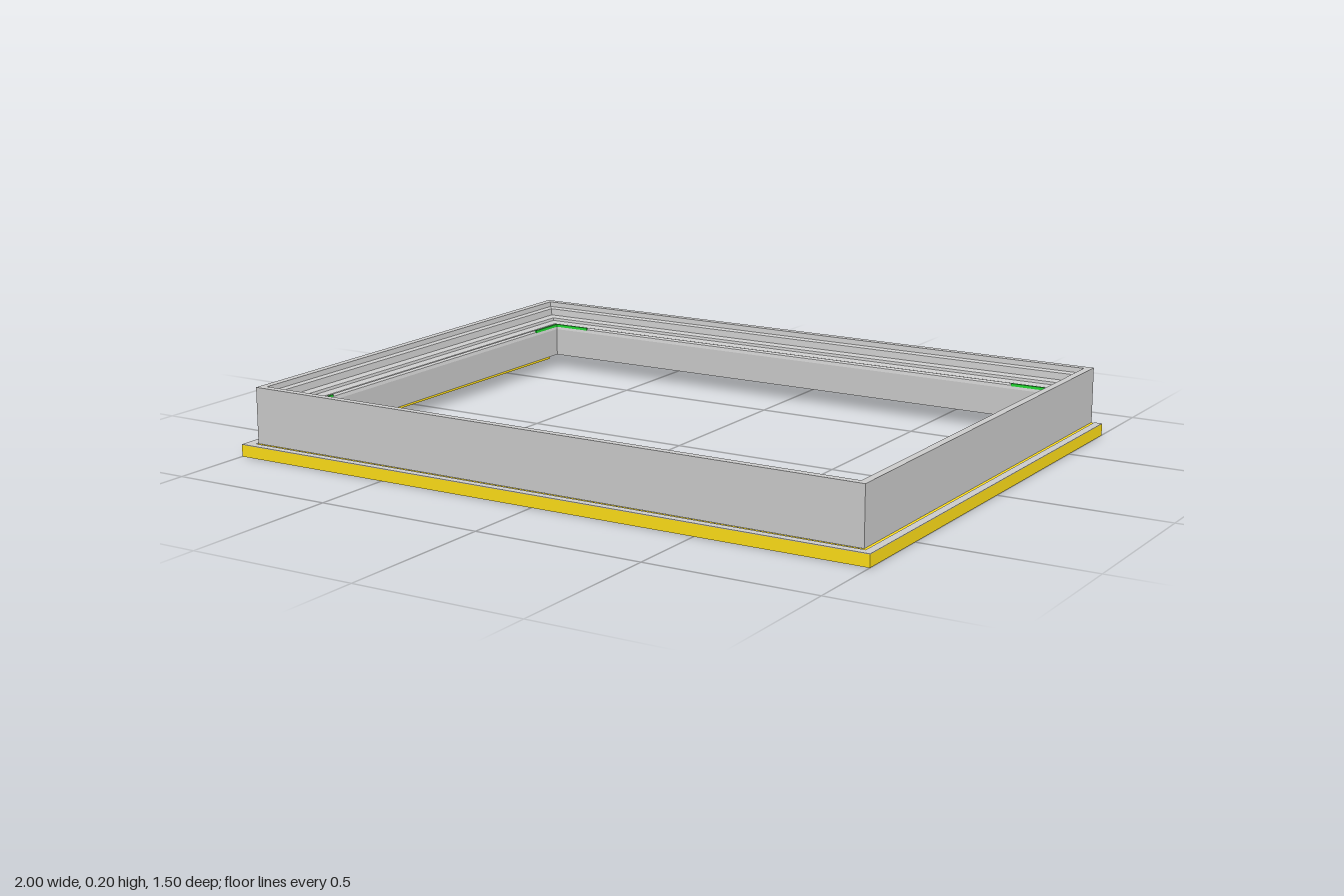
import * as THREE from 'three';

const grey = new THREE.MeshStandardMaterial({ color: 0xcccccc });
const yellow = new THREE.MeshStandardMaterial({ color: 0xffdf18 });
const green = new THREE.MeshStandardMaterial({ color: 0x22dd33 });

const X = 0.967, ZF = 0.717, ZB = -0.75; // outer faces of the frame

// Sweep a closed section [inset, height] around the rectangle with mitred corners
function mitredRing(section) {
  const corners = [[1, -1], [1, 1], [-1, 1], [-1, -1]];
  const mid = (ZF + ZB) / 2, half = (ZF - ZB) / 2;
  const at = (k, j) => {
    const [sx, sz] = corners[k % 4];
    const [d, y] = section[j % section.length];
    return [sx * (X - d), y, mid + sz * (half - d)];
  };
  const pos = [];
  for (let k = 0; k < 4; k++) {
    for (let j = 0; j < section.length; j++) {
      const a = at(k, j), b = at(k, j + 1), c = at(k + 1, j + 1), d = at(k + 1, j);
      pos.push(...a, ...b, ...c, ...a, ...c, ...d);
    }
  }
  const geo = new THREE.BufferGeometry();
  geo.setAttribute('position', new THREE.Float32BufferAttribute(pos, 3));
  geo.computeVertexNormals();
  return geo;
}

// Box given by its limits on each axis
function bar(group, name, mat, x0, x1, y0, y1, z0, z1) {
  const mesh = new THREE.Mesh(new THREE.BoxGeometry(x1 - x0, y1 - y0, z1 - z0), mat);
  mesh.position.set((x0 + x1) / 2, (y0 + y1) / 2, (z0 + z1) / 2);
  mesh.name = name;
  group.add(mesh);
}

export function createModel() {
  const model = new THREE.Group();
  model.name = 'windowFrame';

  // Frame: tall outer wall, stepped rebate inside, low inner wall, grooved underside
  const frame = new THREE.Mesh(mitredRing([
    [0, 0.035], [0, 0.2], [0.022, 0.2], [0.024, 0.185], [0.034, 0.18], [0.037, 0.16],
    [0.055, 0.155], [0.057, 0.147], [0.077, 0.142], [0.08, 0.125], [0.088, 0.125],
    [0.09, 0.145], [0.097, 0.14], [0.1, 0.13], [0.1, 0.045],
    [0.08, 0.045], [0.08, 0.052], [0.068, 0.052], [0.068, 0.04],
    [0.04, 0.04], [0.04, 0.05], [0.028, 0.05], [0.028, 0.035],
  ]), grey);
  frame.name = 'frame';
  model.add(frame);

  // Trim under the front and both sides; the back has none
  const trim = new THREE.Group();
  trim.name = 'trim';
  model.add(trim);
  const top = 0.034;
  bar(trim, 'frontTrim', yellow, -1, 1, 0, top, 0.715, 0.75);
  bar(trim, 'leftTrim', yellow, 0.965, 1, 0, top, ZB, 0.715);
  bar(trim, 'rightTrim', yellow, -1, -0.965, 0, top, ZB, 0.715);

  // Thin grey caps on the trim
  bar(trim, 'frontCap', grey, -1, 1, top, top + 0.002, 0.726, 0.75);
  bar(trim, 'leftCap', grey, 0.976, 1, top, top + 0.002, ZB, 0.726);
  bar(trim, 'rightCornerCap', grey, -1, -0.968, top, top + 0.002, 0.62, 0.726);

  // Corner seals along the inner wall
  const inX = X - 0.097, len = 0.12, t = 0.006;
  const seals = new THREE.Group();
  seals.name = 'cornerSeals';
  model.add(seals);
  for (const s of [-1, 1]) {
    for (const [z, dir] of [[ZB + 0.097, 1], [ZF - 0.097, -1]]) {
      const xs = [s * inX, s * (inX - len)].sort((a, b) => a - b);
      const zs = [z, z + dir * len].sort((a, b) => a - b);
      bar(seals, 'longSeal', green, xs[0], xs[1], 0.138, 0.146, z - t / 2, z + t / 2);
      bar(seals, 'shortSeal', green, s * inX - t / 2, s * inX + t / 2, 0.138, 0.146, zs[0], zs[1]);
    }
  }
  return model;
}
